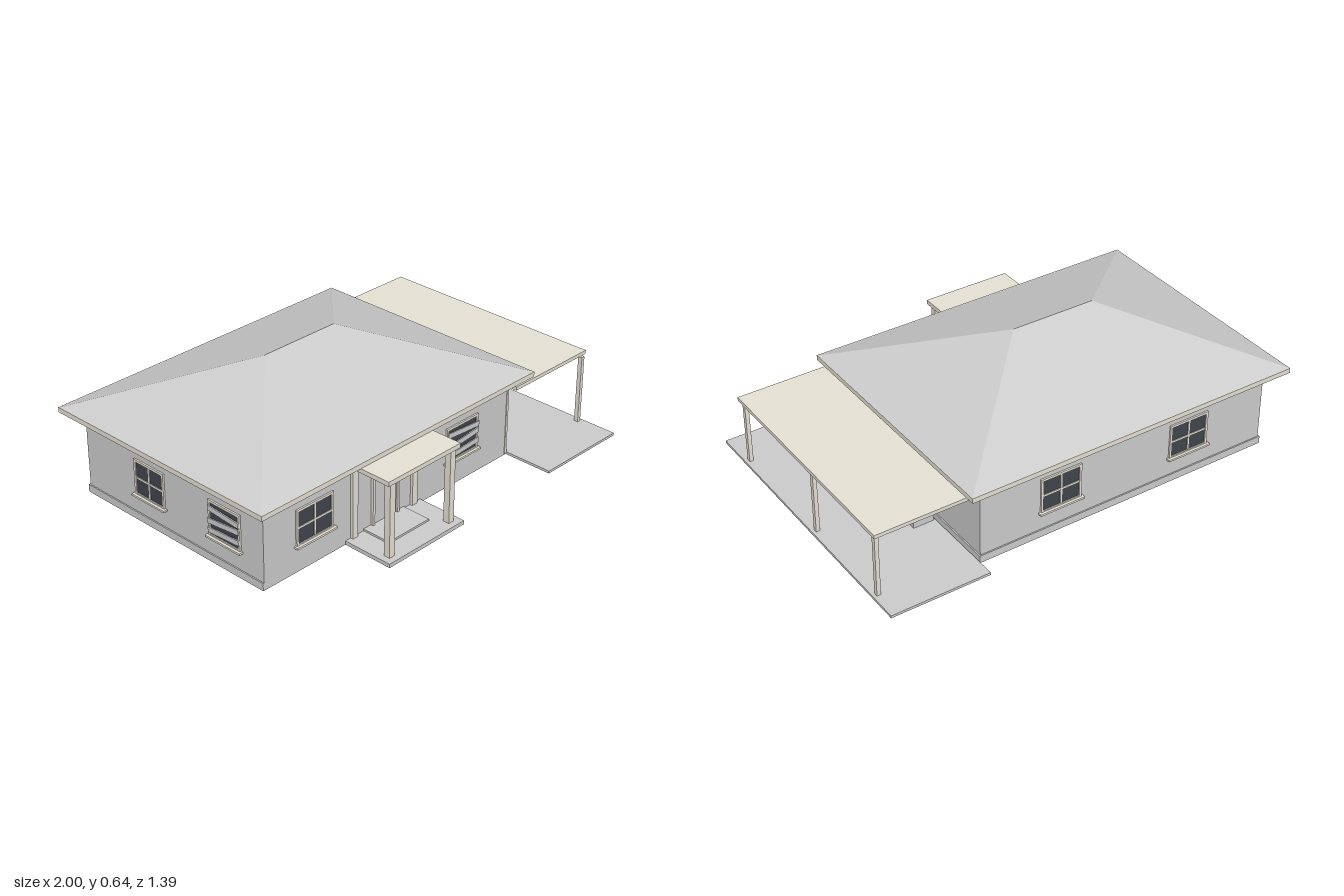
import * as THREE from 'three';

const grey = new THREE.MeshStandardMaterial({ color: 0xcccccc, flatShading: true });
const cream = new THREE.MeshStandardMaterial({ color: 0xe6e0d4, flatShading: true });
const dark = new THREE.MeshStandardMaterial({ color: 0x40454d, flatShading: true });

// Box given by its lower and upper limits on each axis
function block(parent, name, mat, x0, x1, y0, y1, z0, z1) {
  const mesh = new THREE.Mesh(new THREE.BoxGeometry(x1 - x0, y1 - y0, z1 - z0), mat);
  mesh.position.set((x0 + x1) / 2, (y0 + y1) / 2, (z0 + z1) / 2);
  mesh.name = name;
  parent.add(mesh);
  return mesh;
}

// Hip roof: a box whose top face is drawn in to a ridge
function hipRoof() {
  const geo = new THREE.BoxGeometry(1.6, 0.235, 1.2);
  const p = geo.attributes.position;
  for (let i = 0; i < p.count; i++) {
    if (p.getY(i) > 0) {
      p.setX(i, Math.sign(p.getX(i)) * 0.2);
      p.setZ(i, 0);
    }
  }
  geo.computeVertexNormals();
  const roof = new THREE.Mesh(geo, grey);
  roof.position.set(-0.198, 0.5215, -0.08);
  roof.name = 'hipRoof';
  return roof;
}

// Window facing +z, with either glazing bars or nailed boards
function makeWindow(width, boarded) {
  const g = new THREE.Group();
  g.name = boarded ? 'boardedWindow' : 'window';
  const w = width / 2, h = 0.084, t = 0.011;
  block(g, 'glass', dark, -w + t, w - t, -h + t, h - t, -0.004, 0.003);
  for (const s of [-1, 1]) {
    const x = s * (w - t / 2), y = s * (h - t / 2);
    block(g, 'frameSide', cream, x - t / 2, x + t / 2, -h, h, -0.004, 0.008);
    block(g, 'frameRail', cream, -w + t, w - t, y - t / 2, y + t / 2, -0.004, 0.008);
  }
  block(g, 'sill', cream, -w - 0.009, w + 0.009, -h - 0.004, -h + 0.005, -0.004, 0.02);
  if (boarded) {
    [[0.045, 0.07], [0, -0.1], [-0.045, -0.06]].forEach(([y, tilt], i) => {
      const board = block(g, 'board', grey, -w + 0.003, w - 0.001, y - 0.012, y + 0.012, 0.008, 0.014);
      board.rotation.z = i === 1 ? 0.1 : tilt * -1;
    });
  } else {
    block(g, 'barUpright', cream, -0.004, 0.004, -h + t, h - t, 0, 0.006);
    block(g, 'barCross', cream, -w + t, w - t, -0.004, 0.004, 0, 0.006);
  }
  return g;
}

export function createModel() {
  const house = new THREE.Group();
  house.name = 'house';

  // Body and skirting
  block(house, 'walls', grey, -0.925, 0.52, 0, 0.385, -0.605, 0.45);
  block(house, 'skirtingBack', grey, -0.93, 0.525, 0, 0.035, -0.611, -0.604);
  block(house, 'skirtingLeft', grey, -0.931, -0.924, 0, 0.035, -0.611, 0.45);
  block(house, 'skirtingRight', grey, 0.519, 0.526, 0, 0.035, -0.611, 0.45);

  // Roof and its eaves
  block(house, 'eaves', cream, -1, 0.605, 0.381, 0.404, -0.685, 0.525);
  house.add(hipRoof());

  // Windows: x, z, turn, width, boarded
  const windows = [
    [-0.65, 0.45, 0, 0.205, false],
    [0.225, 0.45, 0, 0.2, true],
    [0.13, -0.605, Math.PI, 0.2, false],
    [-0.525, -0.605, Math.PI, 0.2, false],
    [0.52, -0.08, Math.PI / 2, 0.18, false],
    [-0.925, -0.21, -Math.PI / 2, 0.18, false],
    [-0.925, 0.235, -Math.PI / 2, 0.18, true],
  ];
  for (const [x, z, turn, width, boarded] of windows) {
    const win = makeWindow(width, boarded);
    win.position.set(x, 0.204, z);
    win.rotation.y = turn;
    house.add(win);
  }

  // Front door with frame and step
  const door = new THREE.Group();
  door.name = 'frontDoor';
  house.add(door);
  block(door, 'doorLeaf', grey, -0.315, -0.18, 0.02, 0.298, 0.445, 0.454);
  block(door, 'doorJamb', cream, -0.327, -0.315, 0.02, 0.31, 0.445, 0.463);
  block(door, 'doorJamb', cream, -0.18, -0.168, 0.02, 0.31, 0.445, 0.463);
  block(door, 'doorHead', cream, -0.315, -0.18, 0.298, 0.31, 0.445, 0.463);
  block(door, 'doorStep', grey, -0.37, -0.13, 0.017, 0.027, 0.45, 0.59);

  // Porch
  const porch = new THREE.Group();
  porch.name = 'porch';
  house.add(porch);
  block(porch, 'porchSlab', grey, -0.475, -0.028, 0, 0.018, 0.45, 0.692);
  block(porch, 'porchRoof', cream, -0.465, -0.043, 0.361, 0.382, 0.45, 0.673);
  for (const x of [-0.43, -0.075]) {
    block(porch, 'porchPost', cream, x - 0.015, x + 0.015, 0.018, 0.361, 0.633, 0.663);
    block(porch, 'wallPost', cream, x - 0.015, x + 0.015, 0.018, 0.361, 0.45, 0.463);
  }

  // Carport
  const carport = new THREE.Group();
  carport.name = 'carport';
  house.add(carport);
  block(carport, 'carportSlab', grey, 0.53, 0.99, 0, 0.012, -0.695, 0.69);
  block(carport, 'carportRoof', cream, 0.52, 1, 0.336, 0.353, -0.61, 0.5);
  for (const z of [0.503, -0.075, -0.555]) {
    block(carport, 'carportPost', cream, 0.957, 0.975, 0.012, 0.336, z - 0.01, z + 0.01);
  }
  block(carport, 'cornerPost', cream, 0.518, 0.53, 0.005, 0.336, 0.437, 0.453);
  block(carport, 'utilityBox', grey, 0.538, 0.635, 0.012, 0.11, -0.287, -0.188);

  return house;
}
